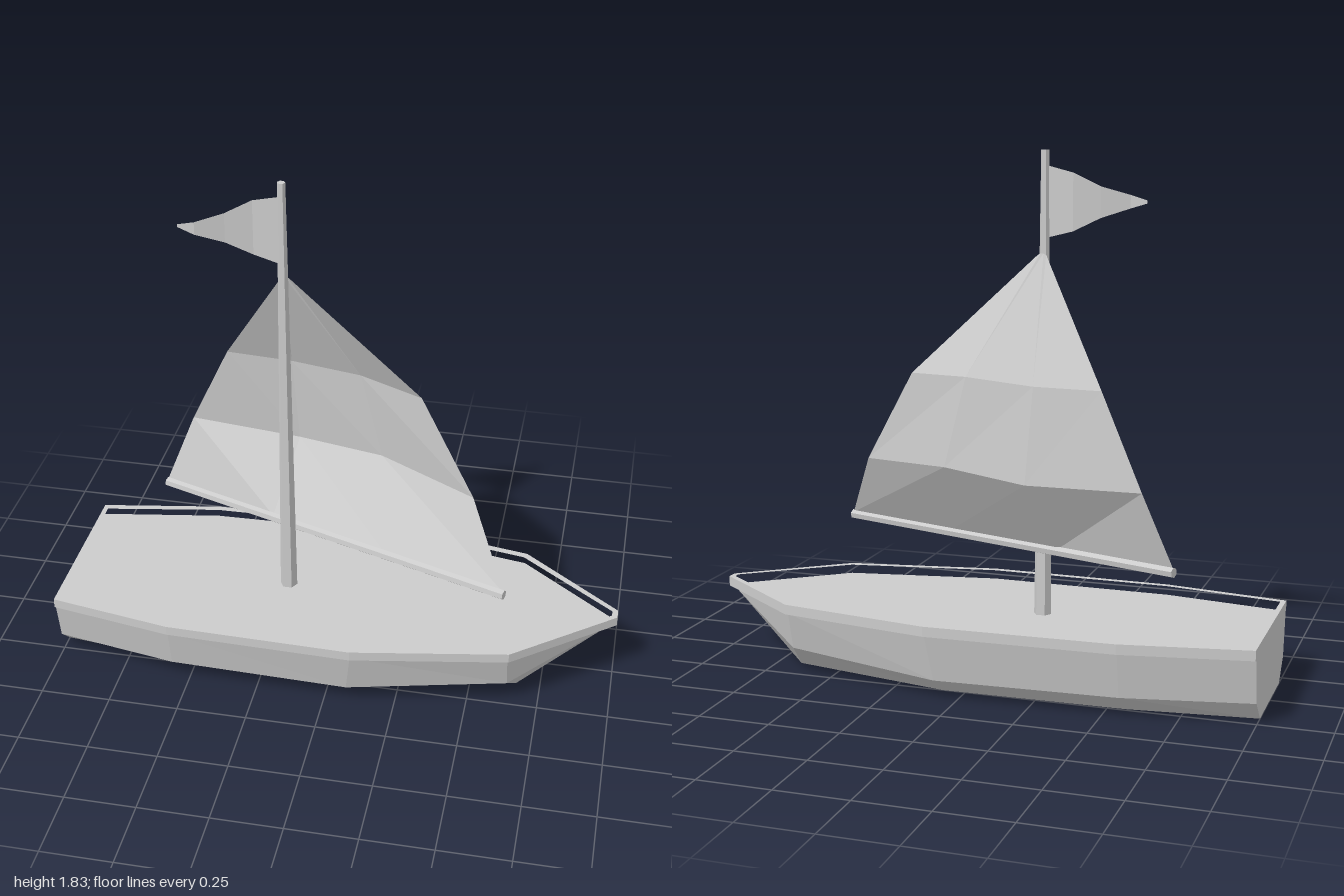
import * as THREE from 'three';

const grey = new THREE.MeshStandardMaterial({ color: 0xcccccc, flatShading: true });
const cloth = new THREE.MeshStandardMaterial({ color: 0xcccccc, flatShading: true, side: THREE.DoubleSide });

function add(group, name, geometry, material = grey) {
  const mesh = new THREE.Mesh(geometry, material);
  mesh.name = name;
  group.add(mesh);
  return mesh;
}

// Faceted surface through rows of [x, y, z] points
function loft(rows, closed = false, capStart = false) {
  const pos = [];
  const tri = (...pts) => pts.forEach((p) => pos.push(...p));
  const n = rows[0].length;
  for (let i = 0; i < rows.length - 1; i++) {
    for (let k = 0; k < (closed ? n : n - 1); k++) {
      const m = (k + 1) % n;
      const a = rows[i][k], b = rows[i][m], c = rows[i + 1][m], d = rows[i + 1][k];
      tri(a, b, c);
      tri(a, c, d);
    }
  }
  if (capStart) for (let k = 1; k < n - 1; k++) tri(rows[0][0], rows[0][k + 1], rows[0][k]);
  const geo = new THREE.BufferGeometry();
  geo.setAttribute('position', new THREE.Float32BufferAttribute(pos, 3));
  geo.computeVertexNormals();
  return geo;
}

// Mirrored outline of [x, halfWidth] pairs
const outline = (half) =>
  [...half, ...half.slice().reverse().map(([x, w]) => [x, -w])].map(([x, w]) => new THREE.Vector2(x, w));

export function createModel() {
  const boat = new THREE.Group();
  boat.name = 'sailboat';

  // Hull stations: half section of gunwale, chine and bottom edge as [x, y, z]
  const stations = [
    [[-1, 0.23, 0.295], [-1, 0.075, 0.265], [-1, 0, 0.19]],
    [[-0.56, 0.23, 0.368], [-0.56, 0.07, 0.335], [-0.56, 0, 0.24]],
    [[0.1, 0.23, 0.382], [0.08, 0.065, 0.347], [0.08, 0, 0.25]],
    [[0.64, 0.23, 0.288], [0.64, 0.095, 0.25], [0.665, 0, 0.13]],
    [[0.985, 0.23, 0.015], [0.983, 0.228, 0.012], [0.98, 0.225, 0.01]],
  ];
  const rings = stations.map((s) => [...s, ...s.slice().reverse().map(([x, y, z]) => [x, y, -z])]);
  add(boat, 'hull', loft(rings, true, true));

  // Raised rim around the deck
  const rimShape = new THREE.Shape(outline([[-1, 0.305], [-0.56, 0.38], [0.1, 0.395], [0.645, 0.3], [1, 0.02]]));
  rimShape.holes.push(new THREE.Path(
    outline([[-0.982, 0.283], [-0.56, 0.357], [0.1, 0.37], [0.635, 0.276], [0.98, 0.012]])));
  const rim = new THREE.ExtrudeGeometry(rimShape, { depth: 0.035, bevelEnabled: false });
  rim.rotateX(-Math.PI / 2).translate(0, 0.23, 0);
  add(boat, 'rim', rim);

  // Tapered six-sided mast
  const mast = new THREE.CylinderGeometry(0.014, 0.031, 1.6, 6);
  mast.rotateY(Math.PI / 6).translate(-0.2, 1.03, 0);
  add(boat, 'mast', mast);

  // Boom along the foot of the sail
  const from = new THREE.Vector3(-0.71, 0.473, -0.215), to = new THREE.Vector3(0.61, 0.473, 0.24);
  const boom = add(boat, 'boom', new THREE.CylinderGeometry(0.018, 0.018, from.distanceTo(to), 6));
  boom.position.copy(from).lerp(to, 0.5);
  boom.quaternion.setFromUnitVectors(new THREE.Vector3(0, 1, 0), to.clone().sub(from).normalize());

  // Billowing sail, rows from head to foot
  add(boat, 'sail', loft([
    [[-0.21, 1.48, -0.015], [-0.2, 1.485, -0.015], [-0.19, 1.485, -0.015], [-0.18, 1.48, -0.012]],
    [[-0.46, 1.06, -0.215], [-0.22, 1.06, -0.195], [0.04, 1.07, -0.125], [0.27, 1.06, -0.03]],
    [[-0.61, 0.74, -0.26], [-0.2, 0.73, -0.22], [0.12, 0.752, -0.12], [0.47, 0.73, 0.05]],
    [[-0.71, 0.48, -0.215], [-0.27, 0.48, -0.063], [0.17, 0.48, 0.088], [0.61, 0.48, 0.24]],
  ]), cloth);

  // Waving pennant: [x, bottom, top, z]
  const pennant = [
    [-0.2, 1.535, 1.78, 0], [-0.3, 1.56, 1.755, -0.008], [-0.39, 1.605, 1.71, 0.012],
    [-0.485, 1.637, 1.682, 0.04], [-0.545, 1.655, 1.665, 0.03],
  ];
  add(boat, 'pennant', loft(pennant.map(([x, lo, hi, z]) => [[x, lo, z], [x, hi, z]])), cloth);

  return boat;
}
